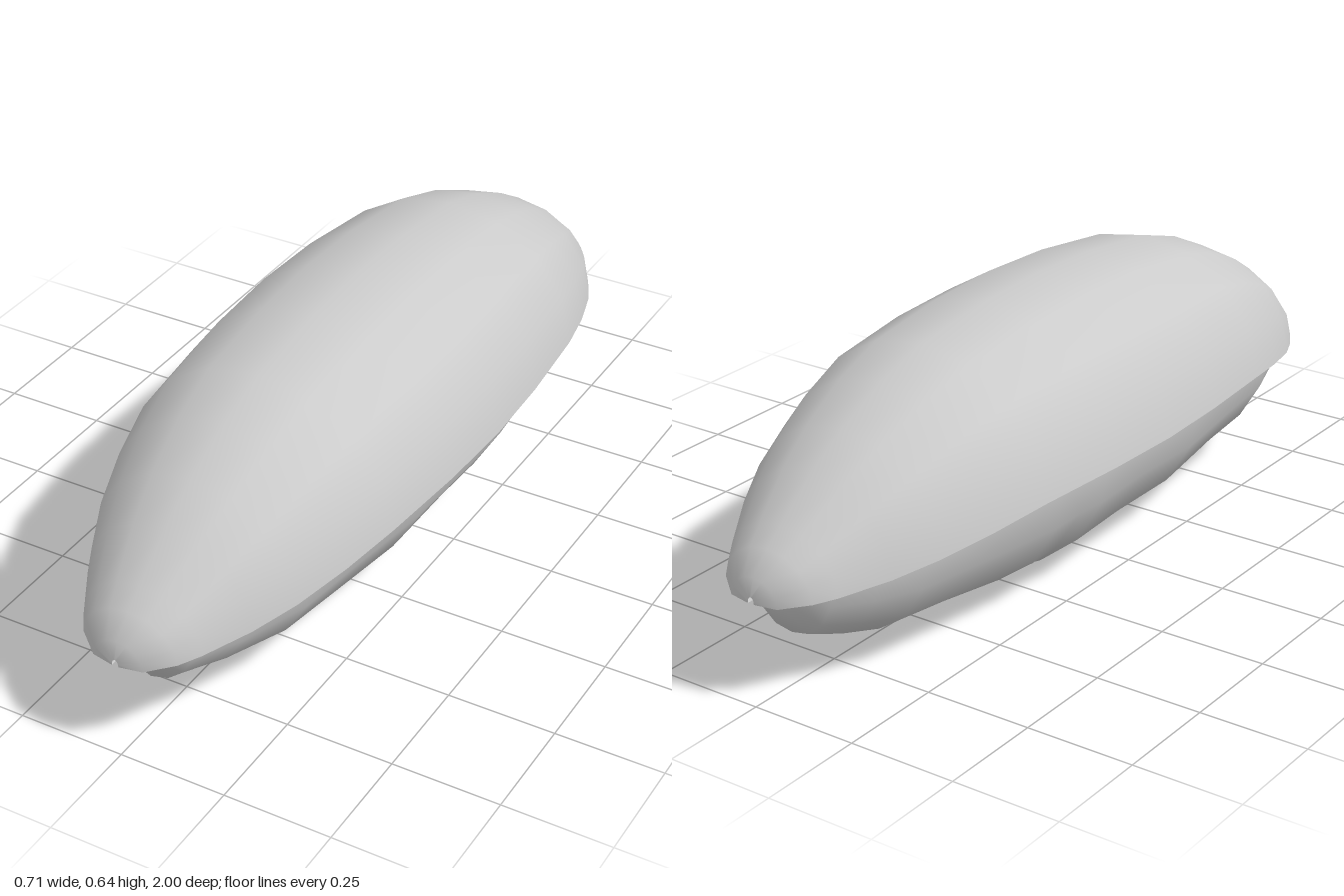
import * as THREE from 'three';
import { toCreasedNormals } from 'three/addons/utils/BufferGeometryUtils.js';

const SEG = 8; // segments per half section

// Shell stations: [z, half width, rim height, crown height], mirrored front to back
const half = [
  [1, 0.008, 0.235, 0.25], [0.99, 0.06, 0.235, 0.29], [0.945, 0.115, 0.243, 0.335],
  [0.9, 0.145, 0.248, 0.37], [0.8, 0.203, 0.264, 0.45], [0.7, 0.25, 0.283, 0.51],
  [0.57, 0.292, 0.305, 0.57], [0.43, 0.325, 0.326, 0.612], [0.2, 0.347, 0.33, 0.638],
];
const shellStations = [
  ...half, [0, 0.354, 0.33, 0.645],
  ...half.map(([z, ...rest]) => [-z, ...rest]).reverse(),
];

// Body stations, front to back: [z, half width, lowest point]
const bodyStations = [
  [0.945, 0.03, 0.2], [0.91, 0.085, 0.175], [0.88, 0.115, 0.122], [0.78, 0.175, 0.092],
  [0.62, 0.24, 0.05], [0.43, 0.278, 0.04], [0.22, 0.298, 0.018], [0, 0.306, 0.02],
  [-0.16, 0.305, 0.0], [-0.24, 0.302, 0.018], [-0.32, 0.295, 0.012], [-0.5, 0.265, 0.038],
  [-0.7, 0.218, 0.06], [-0.8, 0.17, 0.09], [-0.88, 0.115, 0.12], [-0.92, 0.06, 0.19],
];

// Linear lookup of one column in the shell table
function shellAt(z, col) {
  const i = shellStations.findIndex((s, k) => k > 0 && s[0] <= z);
  const a = shellStations[i - 1], b = shellStations[i];
  return THREE.MathUtils.lerp(a[col], b[col], (z - a[0]) / (b[0] - a[0]));
}

// Skin closed rings (counter-clockwise seen from the front) running front to back
function loft(rings, capped) {
  const n = rings[0].length;
  const pos = rings.flat(2);
  const index = [];
  for (let i = 0; i < rings.length - 1; i++) {
    for (let j = 0; j < n; j++) {
      const k = (j + 1) % n;
      const a = i * n + j, b = i * n + k, c = a + n, d = b + n;
      index.push(a, c, b, b, c, d);
    }
  }
  if (capped) {
    const last = (rings.length - 1) * n;
    for (let j = 1; j < n - 1; j++) {
      index.push(0, j, j + 1, last, last + j + 1, last + j);
    }
  }
  const geo = new THREE.BufferGeometry();
  geo.setAttribute('position', new THREE.Float32BufferAttribute(pos, 3));
  geo.setIndex(index);
  return toCreasedNormals(geo, 1.0);
}

// Domed shell with an outer skin, a flat rim and an inner skin
function shellGeometry() {
  const rings = shellStations.map(([z, w, rim, top]) => {
    const arc = (s, zs) => Array.from({ length: SEG + 1 }, (_, j) => {
      const a = (Math.PI * j) / SEG;
      return [w * s * Math.cos(a), rim + (top - rim) * s * Math.sin(a), z * zs];
    });
    return [...arc(1, 1), ...arc(0.93, 0.975).reverse()];
  });
  return loft(rings, false);
}

// Soft, slightly lumpy body tucked under the shell
function bodyGeometry() {
  const rings = bodyStations.map(([z, w, low]) => {
    const mid = shellAt(z, 2) + 0.01;
    const top = mid + 0.7 * (shellAt(z, 3) - mid);
    return Array.from({ length: SEG * 2 }, (_, j) => {
      const a = (Math.PI * j) / SEG;
      const s = Math.sin(a);
      let x = w * Math.cos(a);
      let y = mid + (s > 0 ? top - mid : mid - low) * s;
      let pz = z;
      if (s < -0.1) {
        // uneven underside
        const lump = Math.sin(z * 9 + x * 14) * 0.008 * Math.abs(Math.cos(a));
        x *= 1 + lump;
        y += lump;
        // pinched hollow at the front
        const d2 = (x + 0.03) ** 2 + (y - 0.18) ** 2;
        if (z > 0.8) pz -= 0.035 * Math.exp(-d2 / 0.0012);
      }
      return [x, y, pz];
    });
  });
  return loft(rings, true);
}

export function createModel() {
  const group = new THREE.Group();
  const material = new THREE.MeshStandardMaterial({ color: 0xcccccc, side: THREE.DoubleSide });
  const add = (name, geometry) => {
    const mesh = new THREE.Mesh(geometry, material);
    mesh.name = name;
    group.add(mesh);
  };
  add('shell', shellGeometry());
  add('body', bodyGeometry());
  return group;
}
